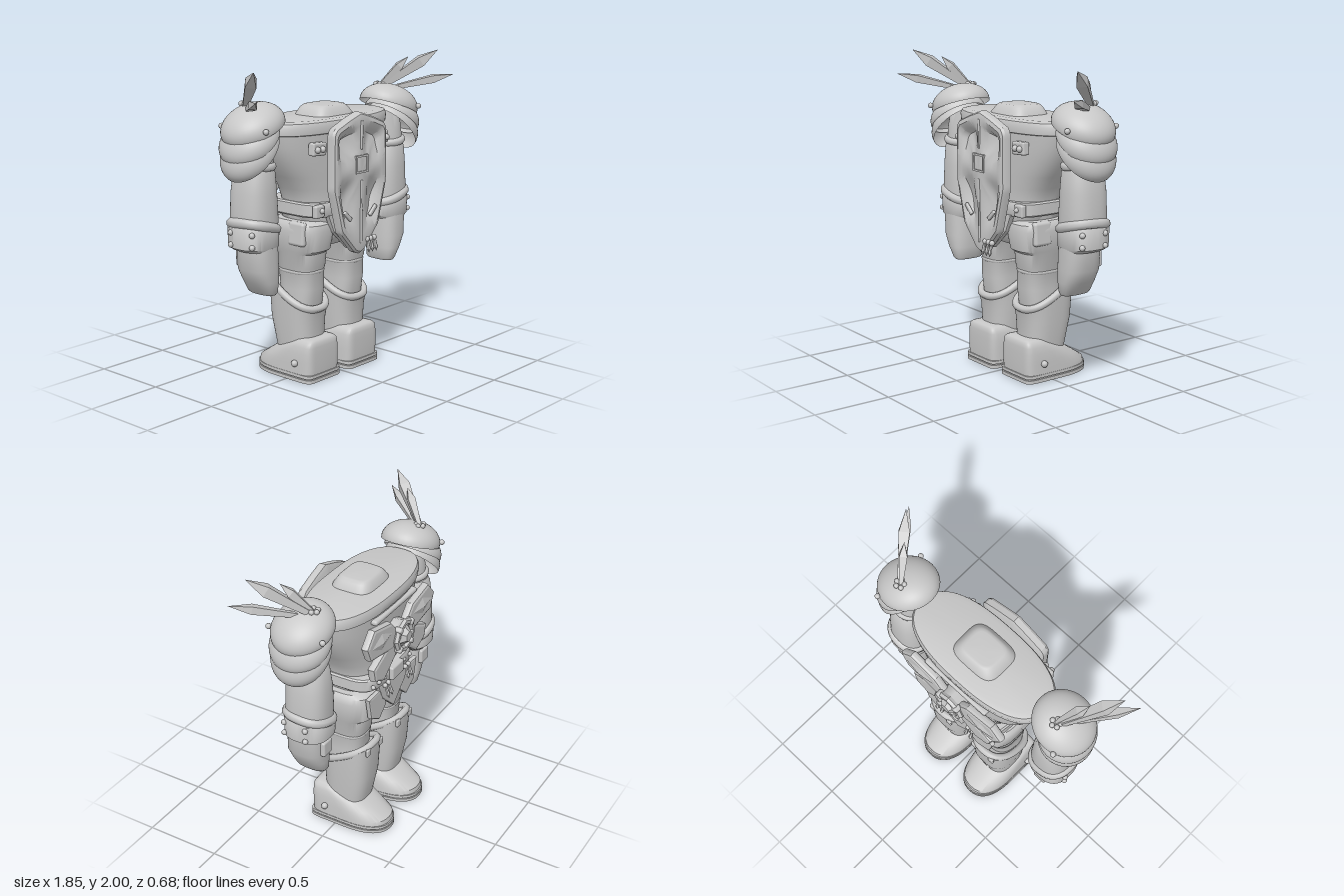
import * as THREE from 'three';
import { toCreasedNormals } from 'three/addons/utils/BufferGeometryUtils.js';
import { RoundedBoxGeometry } from 'three/addons/geometries/RoundedBoxGeometry.js';

const stone = new THREE.MeshStandardMaterial({ color: 0xc8c8c8, side: THREE.DoubleSide });
stone.name = 'stone grey';

function add(parent, name, geo, pos = [0, 0, 0], rot = [0, 0, 0], scale = [1, 1, 1]) {
  const m = new THREE.Mesh(geo, stone);
  m.name = name;
  m.position.set(...pos);
  m.rotation.set(...rot);
  m.scale.set(...scale);
  parent.add(m);
  return m;
}

// Superellipse point; nBack shapes the +z half, nFront the -z half
function oval(t, rx, rz, nBack, nFront) {
  const c = Math.cos(t), s = Math.sin(t), n = s > 0 ? nBack : nFront;
  const f = v => Math.sign(v) * Math.abs(v) ** (2 / n);
  return [f(c) * rx, f(s) * rz];
}

// Skin a stack of closed rings of points, capping both ends
function skin(rings, crease = 0.7) {
  const n = rings[0].length, pos = rings.flat(2), idx = [];
  for (let i = 0; i < rings.length - 1; i++) for (let j = 0; j < n; j++) {
    const a = i * n + j, b = i * n + (j + 1) % n;
    idx.push(a, a + n, b, b, a + n, b + n);
  }
  [0, rings.length - 1].forEach((r, end) => {
    const mid = [0, 1, 2].map(k => rings[r].reduce((q, p) => q + p[k], 0) / n), c = pos.length / 3;
    pos.push(...mid);
    for (let j = 0; j < n; j++) {
      const a = r * n + j, b = r * n + (j + 1) % n;
      idx.push(c, ...(end ? [b, a] : [a, b]));
    }
  });
  const g = new THREE.BufferGeometry();
  g.setAttribute('position', new THREE.Float32BufferAttribute(pos, 3));
  g.setIndex(idx);
  return toCreasedNormals(g, crease);
}

// Rings: [y, centre x, half width, z min, z max, slope in x, slope in z]
function loft(rings, nBack = 2, nFront = nBack, seg = 40) {
  return skin(rings.map(([y, cx, rx, z0, z1, sx = 0, sz = 0]) =>
    Array.from({ length: seg }, (_, j) => {
      const [x, z] = oval(j / seg * Math.PI * 2, rx, (z1 - z0) / 2, nBack, nFront);
      return [cx + x, y + sx * x + sz * z, (z0 + z1) / 2 + z];
    })));
}

// Tube following a tilted oval
function hoop(cx, y, cz, rx, rz, r, sx, sz, n = 2) {
  const pts = Array.from({ length: 32 }, (_, j) => {
    const [x, z] = oval(j / 32 * Math.PI * 2, rx, rz, n, n);
    return new THREE.Vector3(cx + x, y + sx * x + sz * z, cz + z);
  });
  return new THREE.TubeGeometry(new THREE.CatmullRomCurve3(pts, true), 64, r, 8, true);
}

const rounded = (w, h, d, r = 0.012) => new RoundedBoxGeometry(w, h, d, 2, r);
const stud = (g, name, p, r = 0.017) => add(g, name, new THREE.SphereGeometry(r, 12, 8), p);

// Plate cut from an xy outline with a bevelled edge
function plate(points, depth, bevel) {
  const shape = new THREE.Shape(points.map(p => new THREE.Vector2(...p)));
  return new THREE.ExtrudeGeometry(shape, { depth, bevelThickness: bevel, bevelSize: bevel, bevelOffset: -bevel, bevelSegments: 2 });
}

// Faceted blade from a to b
function blade(g, name, a, b, r, sides = 4) {
  const A = new THREE.Vector3(...a), d = new THREE.Vector3(...b).sub(A), L = d.length();
  const geo = new THREE.LatheGeometry([[0, 0], [r * 0.5, 0], [r, L * 0.68], [0, L]].map(p => new THREE.Vector2(...p)), sides);
  const m = add(g, name, toCreasedNormals(geo, 0.2), a);
  m.quaternion.setFromUnitVectors(new THREE.Vector3(0, 1, 0), d.normalize());
}

function buildTorso(g) {
  add(g, 'torso', loft([
    [0.9, 0, 0.24, -0.18, 0.18], [1.05, 0, 0.275, -0.2, 0.2], [1.15, 0, 0.29, -0.2, 0.2], [1.22, 0, 0.32, -0.205, 0.205],
    [1.3, 0, 0.37, -0.21, 0.21], [1.4, 0, 0.435, -0.22, 0.215], [1.5, 0, 0.475, -0.225, 0.22], [1.57, 0, 0.49, -0.23, 0.225],
    [1.575, 0, 0.508, -0.235, 0.235], [1.62, 0, 0.512, -0.24, 0.24], [1.645, 0, 0.5, -0.23, 0.23], [1.655, 0, 0.46, -0.2, 0.2]
  ], 2.5, 2.5, 64));
  add(g, 'collar', loft([[1.64, 0, 0.17, -0.13, 0.15], [1.66, 0, 0.165, -0.125, 0.145],
    [1.7, 0, 0.135, -0.105, 0.12], [1.715, 0, 0.115, -0.09, 0.105], [1.717, 0, 0.1, -0.075, 0.09]], 4));
  // Belt, buckle and hanging claws
  add(g, 'belt', loft([[1.05, 0, 0.295, -0.235, 0.215], [1.06, 0, 0.305, -0.24, 0.22],
    [1.13, 0, 0.305, -0.24, 0.22], [1.14, 0, 0.295, -0.235, 0.215]], 4));
  add(g, 'buckle', rounded(0.14, 0.09, 0.05), [0, 1.095, -0.24]);
  for (const x of [-0.26, -0.19, -0.12, 0.12, 0.19, 0.26]) stud(g, 'beltStud', [x, 1.1, -0.235], 0.015);
  for (const x of [-0.15, -0.11, 0.1, 0.14]) {
    stud(g, 'clawBead', [x, 1.055, -0.25], 0.016);
    blade(g, 'beltClaw', [x, 1.05, -0.255], [x, 0.97, -0.28], 0.014, 6);
  }
  // Pelvis and loin flap
  add(g, 'pelvis', loft([[0.84, 0, 0.12, -0.12, 0.12], [0.9, 0, 0.22, -0.18, 0.18], [1.06, 0, 0.28, -0.2, 0.2]], 3));
  for (const z of [-0.228, 0.19]) add(g, 'loinFlap',
    plate([[-0.19, 1.06], [-0.14, 0.95], [0, 0.82], [0.14, 0.95], [0.19, 1.06]], 0.02, 0.008), [0, 0, z]);
  for (const s of [-1, 1]) {
    add(g, 'beltBracket', rounded(0.08, 0.08, 0.04), [s * 0.26, 1.095, 0.195]);
    stud(g, 'bracketStud', [s * 0.25, 1.1, 0.217]);
    add(g, 'shieldMount', rounded(0.12, 0.08, 0.05), [s * 0.295, 1.49, 0.22], [0, 0, s * 0.06]);
    for (const x of [0.28, 0.325]) stud(g, 'mountStud', [s * x, 1.49, 0.25], 0.02);
  }
}

function buildEmblem(g) {
  // Four spread wings around a framed gem
  for (const s of [-1, 1]) {
    const wing = pts => plate(pts.map(([x, y]) => [s * x, y]), 0.016, 0.02);
    add(g, 'upperWing', wing([[0.03, 1.4], [0.13, 1.51], [0.33, 1.555], [0.415, 1.46], [0.37, 1.36], [0.1, 1.31]]), [0, 0, -0.268]);
    add(g, 'lowerWing', wing([[0.03, 1.32], [0.14, 1.36], [0.33, 1.27], [0.31, 1.18], [0.2, 1.13], [0.06, 1.24]]), [0, 0, -0.262]);
    add(g, 'wingRidge', toCreasedNormals(new THREE.ConeGeometry(0.065, 0.02, 4), 0.2), [s * 0.25, 1.44, -0.295], [-Math.PI / 2, 0, 0], [2.1, 1, 1]);
  }
  add(g, 'chestBar', rounded(0.5, 0.035, 0.05, 0.016), [0, 1.545, -0.225]);
  add(g, 'gemFrame', toCreasedNormals(new THREE.TorusGeometry(0.095, 0.022, 6, 8), 0.3), [0, 1.36, -0.298]);
  add(g, 'gemBase', new THREE.CylinderGeometry(0.1, 0.1, 0.08, 8), [0, 1.36, -0.25], [Math.PI / 2, 0, 0]);
  add(g, 'gem', toCreasedNormals(new THREE.CylinderGeometry(0.07, 0.035, 0.045, 6), 0.2), [0, 1.36, -0.312], [Math.PI / 2, 0, 0]);
  for (let i = 0; i < 4; i++) {
    const a = Math.PI * (i + 0.5) / 2;
    add(g, 'gemClasp', rounded(0.045, 0.035, 0.05), [0.095 * Math.cos(a), 1.36 + 0.095 * Math.sin(a), -0.3], [0, 0, a]);
  }
}

function buildShield(g) {
  const half = [[0.11, 1.655], [0.225, 1.61], [0.248, 1.58], [0.25, 1.23], [0.175, 0.96], [0.04, 0.815]];
  const pts = [[0, 1.69], ...half, [0, 0.8], ...half.map(([x, y]) => [-x, y]).reverse()];
  const shape = new THREE.Shape(pts.map(p => new THREE.Vector2(...p)));
  shape.closePath();
  const edge = shape.getSpacedPoints(96).slice(0, 96).reverse();
  // Thick rim, then a face hollowed in four quarters between cross ridges
  const levels = [[0.94, 0.25, 0], [1, 0.26, 0], [1, 0.298, 0], [0.97, 0.314, 0], [0.9, 0.32, 0],
    [0.78, 0.318, 0.35], [0.7, 0.317, 1], [0.5, 0.318, 0.75], [0.36, 0.32, 0.3], [0.24, 0.32, 0]];
  add(g, 'shield', skin(levels.map(([k, z, dip]) => edge.map(p => {
    const a = Math.atan2(p.y - 1.33, p.x * 1.5);
    return [p.x * k, 1.33 + (p.y - 1.33) * k, z - 0.05 * dip * Math.sin(2 * a) ** 2];
  })), 0.5));
  add(g, 'upperRib', rounded(0.02, 0.18, 0.02, 0.006), [0, 1.55, 0.315]);
  add(g, 'lowerRib', rounded(0.02, 0.4, 0.02, 0.006), [0, 1.07, 0.315]);
  for (const s of [-1, 1]) {
    add(g, 'slantBar', rounded(0.085, 0.025, 0.02, 0.006), [s * 0.12, 1.06, 0.31], [0, 0, s * 0.75]);
    add(g, 'squareSide', new THREE.BoxGeometry(0.012, 0.1, 0.03), [s * 0.05, 1.37, 0.311]);
    add(g, 'squareEdge', new THREE.BoxGeometry(0.112, 0.012, 0.03), [0, 1.37 + s * 0.05, 0.311]);
  }
  // Claw charm at the lower edge
  for (const x of [0.06, 0.095, 0.13]) {
    stud(g, 'charmBead', [x, 0.885, 0.315], 0.018);
    blade(g, 'charmClaw', [x, 0.88, 0.32], [x, 0.8, 0.335], 0.014, 6);
  }
}

function buildArm(g, s) {
  const X = s * 0.615;
  add(g, 'upperArm', loft([[1.36, X, 0.105, -0.1, 0.12], [1.5, X - s * 0.01, 0.1, -0.1, 0.12], [1.62, X - s * 0.02, 0.09, -0.08, 0.1], [1.66, X, 0.05, -0.05, 0.06]]));
  add(g, 'forearm', loft([[0.98, X, 0.125, -0.135, 0.13], [1.08, X, 0.134, -0.142, 0.135], [1.25, X, 0.122, -0.14, 0.132],
    [1.37, X, 0.11, -0.125, 0.125], [1.4, X, 0.098, -0.11, 0.115]], 2.5));
  add(g, 'elbowBand', hoop(X, 1.42, 0.01, 0.096, 0.105, 0.026, s * 0.1, -0.1));
  add(g, 'cuff', loft([[0.9, X, 0.115, -0.13, 0.13], [0.92, X + s * 0.005, 0.14, -0.15, 0.14],
    [1.02, X + s * 0.005, 0.142, -0.155, 0.142, s * 0.15], [1.05, X, 0.125, -0.14, 0.13, s * 0.15]], 2.5));
  add(g, 'cuffWrap', hoop(X + s * 0.003, 1.04, -0.004, 0.122, 0.13, 0.032, s * 0.3, 0.08, 2.4));
  for (const z of [-0.06, 0.1]) for (const y of [0.94, 1.015]) stud(g, 'cuffStud', [s * (z > 0 ? 0.74 : 0.758), y, z], 0.018);
  // Closed hand with a knuckle plate
  add(g, 'hand', loft([[0.615, s * 0.565, 0.045, -0.08, 0.11], [0.63, s * 0.567, 0.058, -0.09, 0.12], [0.7, s * 0.585, 0.082, -0.1, 0.135],
    [0.78, s * 0.605, 0.106, -0.105, 0.14], [0.92, s * 0.61, 0.105, -0.11, 0.14]], 2.6));
  add(g, 'knucklePlate', rounded(0.09, 0.1, 0.04), [s * 0.61, 0.83, -0.108]);
  // Overlapping shoulder caps
  for (const [name, x, y, sx, sy, sz, tilt] of [['shoulderDome', 0.635, 1.645, 0.205, 0.13, 0.188, 0.37],
    ['middleShoulderCap', 0.665, 1.56, 0.195, 0.125, 0.19, 0.64], ['lowerShoulderCap', 0.66, 1.495, 0.21, 0.13, 0.185, 0.8]])
    add(g, name, new THREE.SphereGeometry(1, 40, 16, 0, Math.PI * 2, 0, Math.PI * 0.54), [s * x, y, 0.015], [0, 0, -s * tilt], [sx, sy, sz]);
  for (const z of [-0.168, 0.2]) stud(g, 'shoulderStud', [s * 0.715, 1.64, z], 0.018);
  // Crystal spikes and their beads
  for (const [tip, foot, r] of [[[0.857, 2, 0.245], [0.65, 1.77, -0.03], 0.046],
    [[0.925, 1.84, 0.325], [0.665, 1.745, 0], 0.034], [[0.73, 1.955, 0.1], [0.625, 1.765, -0.05], 0.034]])
    blade(g, 'spike', [s * foot[0], foot[1], foot[2]], [s * tip[0], tip[1], tip[2]], r);
  for (let i = 0; i < 5; i++) {
    const a = i * Math.PI * 2 / 5;
    stud(g, 'spikeBead', [s * 0.625 + 0.026 * Math.cos(a), 1.775, -0.055 + 0.026 * Math.sin(a)], 0.016);
  }
}

function buildLeg(g, s) {
  const X = s * 0.19;
  add(g, 'thigh', loft([[0.45, X, 0.11, -0.12, 0.11], [0.58, X, 0.112, -0.14, 0.13], [0.7, X, 0.115, -0.15, 0.13],
    [0.715, X, 0.122, -0.155, 0.135], [0.81, X, 0.128, -0.165, 0.145], [0.83, X, 0.138, -0.195, 0.175],
    [0.96, X, 0.147, -0.21, 0.2], [1.0, X, 0.14, -0.2, 0.19], [1.02, X, 0.12, -0.17, 0.16]], 2.8));
  add(g, 'kneeFold', hoop(X, 0.69, -0.01, 0.105, 0.13, 0.014, 0, 0, 2.8));
  // Hip plates
  add(g, 'frontHipPlate', plate([[0.1, 1.02], [0.09, 0.88], [0.17, 0.81], [0.27, 0.87], [0.3, 1.02]].map(([x, y]) => [s * x, y]), 0.014, 0.01), [0, 0, -0.222]);
  add(g, 'hipPouch', rounded(0.05, 0.15, 0.13, 0.02), [s * 0.31, 0.945, 0.07], [0, 0, s * 0.06]);
  // Greave with a slanted rolled rim and two clips
  add(g, 'greave', loft([[0.19, X, 0.122, -0.16, 0.125], [0.38, X, 0.143, -0.197, 0.13], [0.54, X, 0.152, -0.212, 0.145, 0, -0.53]], 2.6, 3));
  add(g, 'greaveRim', hoop(X, 0.54, -0.03, 0.138, 0.165, 0.024, 0, -0.53, 2.5));
  for (const x of [-0.075, 0.075]) add(g, 'greaveClip', rounded(0.045, 0.05, 0.02, 0.008), [X + x, 0.6, -0.205]);
  // Boot on a layered sole
  add(g, 'boot', loft([[0.045, X, 0.156, -0.327, 0.188], [0.08, X, 0.155, -0.32, 0.19], [0.13, X, 0.154, -0.245, 0.19],
    [0.185, X, 0.15, -0.16, 0.19], [0.225, X, 0.143, -0.07, 0.188], [0.25, X, 0.134, -0.01, 0.185],
    [0.265, X, 0.118, 0.01, 0.175], [0.272, X, 0.095, 0.02, 0.16]], 7, 2.4));
  const sole = (y, h, d) => add(g, 'sole', loft([[y, X, 0.158 - d, -0.335 + d, 0.195 - d], [y + h, X, 0.158 - d, -0.335 + d, 0.195 - d]], 10, 2.4));
  sole(0, 0.022, 0);
  sole(0.022, 0.008, 0.008);
  sole(0.03, 0.02, 0);
  stud(g, 'bootStud', [s * 0.352, 0.118, 0.075], 0.022);
}

export function createModel() {
  const model = new THREE.Group();
  model.name = 'armouredGolem';
  const section = (name, build, ...args) => {
    const g = new THREE.Group();
    g.name = name;
    build(g, ...args);
    model.add(g);
  };
  section('body', buildTorso);
  section('chestEmblem', buildEmblem);
  section('backShield', buildShield);
  for (const [side, s] of [['left', 1], ['right', -1]]) {
    section(side + 'Arm', buildArm, s);
    section(side + 'Leg', buildLeg, s);
  }
  return model;
}
